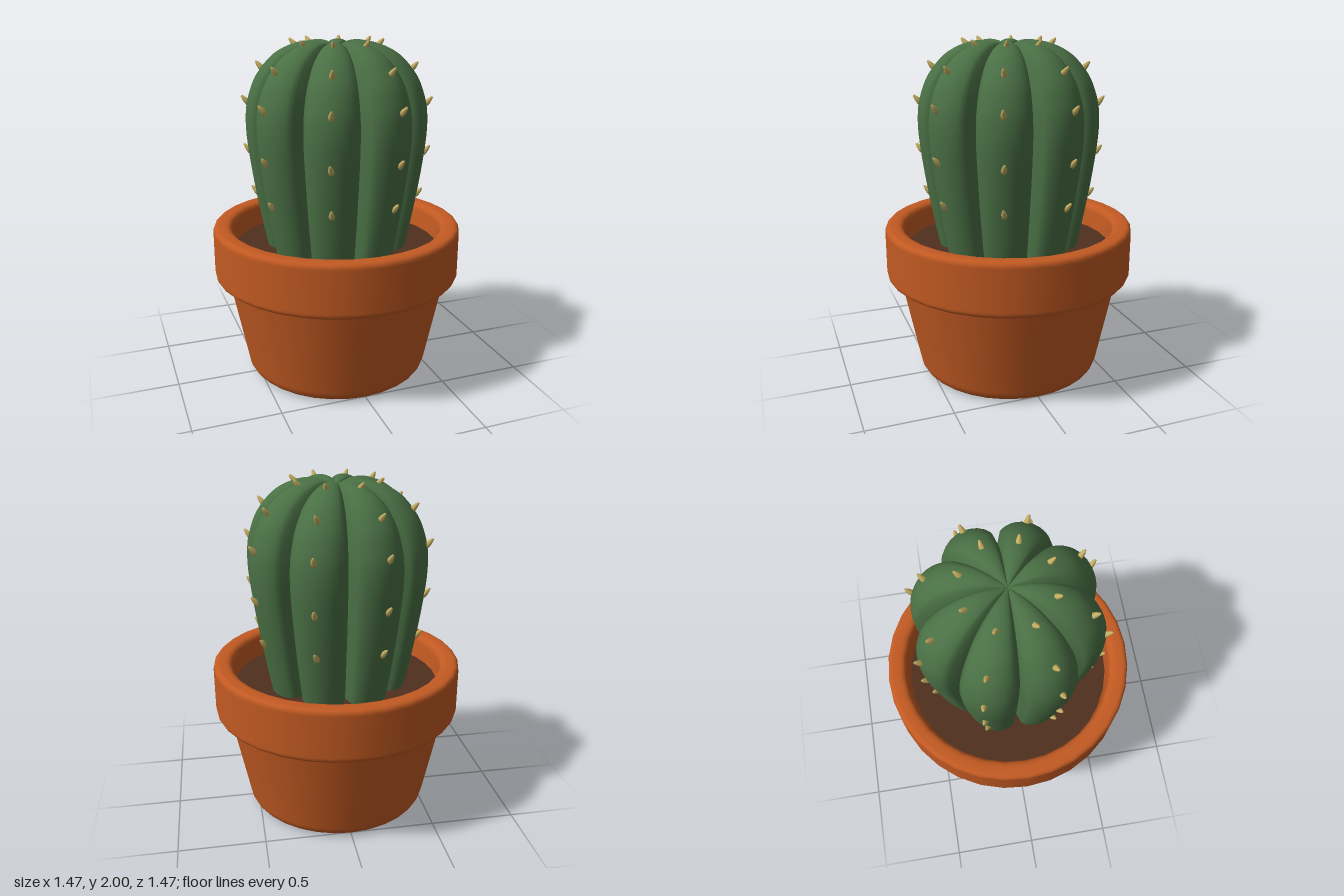
import * as THREE from 'three';

const V2 = (x, y) => new THREE.Vector2(x, y);
const material = (color) => new THREE.MeshStandardMaterial({ color });

// Rounds the corners of a profile given as [radius, height, cornerSize]
function roundedProfile(corners) {
  const pts = [];
  corners.forEach(([x, y, size], i) => {
    const p = V2(x, y);
    if (!size) return pts.push(p);
    const toward = (q) => p.clone().add(V2(q[0] - x, q[1] - y).setLength(size));
    const curve = new THREE.QuadraticBezierCurve(toward(corners[i - 1]), p, toward(corners[i + 1]));
    pts.push(...curve.getPoints(5));
  });
  return pts;
}

// Crest line of a rib, from below the soil up to the dimple at the crown
const crest = new THREE.SplineCurve([
  [0.405, 0.74], [0.445, 0.93], [0.492, 1.2], [0.523, 1.45], [0.522, 1.6], [0.5, 1.7],
  [0.457, 1.8], [0.375, 1.9], [0.29, 1.955], [0.2, 1.985], [0.12, 1.988], [0.05, 1.972], [0, 1.955],
].map(([x, y]) => V2(x, y)));

const RIBS = 8, AROUND = 12, ALONG = 44;

// One rib spanning an eighth of the body; separate ribs keep the grooves crisp
function ribGeometry() {
  const positions = [], index = [];
  const width = (Math.PI * 2) / RIBS;
  for (let j = 0; j <= ALONG; j++) {
    const p = crest.getPoint(j / ALONG);
    const t = crest.getTangent(j / ALONG);
    for (let i = 0; i <= AROUND; i++) {
      const a = (i / AROUND - 0.5) * width;
      const bulge = Math.pow(Math.max(0, Math.sin((Math.PI * i) / AROUND)), 0.38);
      const sink = 0.28 * p.x * (1 - bulge);
      const r = Math.max(0, p.x - t.y * sink);
      positions.push(r * Math.sin(a), p.y + t.x * sink, r * Math.cos(a));
      if (i < AROUND && j < ALONG) {
        const k = j * (AROUND + 1) + i, up = k + AROUND + 1;
        index.push(k, k + 1, up + 1, k, up + 1, up);
      }
    }
  }
  const g = new THREE.BufferGeometry();
  g.setAttribute('position', new THREE.Float32BufferAttribute(positions, 3));
  g.setIndex(index);
  g.computeVertexNormals();
  return g;
}

export function createModel() {
  const model = new THREE.Group();
  model.name = 'pottedCactus';
  const add = (parent, name, geometry, mat) => {
    const mesh = new THREE.Mesh(geometry, mat);
    mesh.name = name;
    parent.add(mesh);
    return mesh;
  };

  // Pot: tapered body, overhanging rim and inner wall in one turned profile
  const potProfile = roundedProfile([
    [0, 0.005], [0.45, 0.005], [0.54, 0.005, 0.07], [0.662, 0.612, 0.03], [0.735, 0.615, 0.035],
    [0.735, 0.93, 0.035], [0.625, 0.93, 0.045], [0.605, 0.74],
  ]);
  add(model, 'pot', new THREE.LatheGeometry(potProfile, 32), material(0xc25a22));

  // Soil
  const soil = add(model, 'soil', new THREE.CircleGeometry(0.615, 32), material(0x50301f));
  soil.rotation.x = -Math.PI / 2;
  soil.position.y = 0.785;

  // Cactus ribs, each with a row of spines leaning upward along its crest
  const cactus = new THREE.Group();
  cactus.name = 'cactus';
  model.add(cactus);
  const green = material(0x4a7045), straw = material(0xc4ae62);
  const ribGeo = ribGeometry();
  const spineProfile = [[0, -0.012], [0.017, -0.008], [0.0165, 0.012], [0.011, 0.036], [0.006, 0.05], [0, 0.054]];
  const spineGeo = new THREE.LatheGeometry(spineProfile.map(([x, y]) => V2(x, y)), 8);
  const spineRows = [[0.472, 1.1], [0.51, 1.355], [0.514, 1.64], [0.426, 1.835], [0.232, 1.962]];

  for (let n = 0; n < RIBS; n++) {
    const rib = new THREE.Group();
    rib.name = 'rib' + (n + 1);
    rib.rotation.y = ((n + 0.5) * Math.PI * 2) / RIBS;
    cactus.add(rib);
    add(rib, 'ribBody', ribGeo, green);
    spineRows.forEach(([r, y], row) => {
      const spine = add(rib, 'spine', spineGeo, straw);
      const wobble = 0.12 * Math.sin(n * 2.7 + row * 1.9);
      spine.position.set(0, y, r);
      spine.rotation.set(0.72, 0, wobble);
    });
  }
  return model;
}
